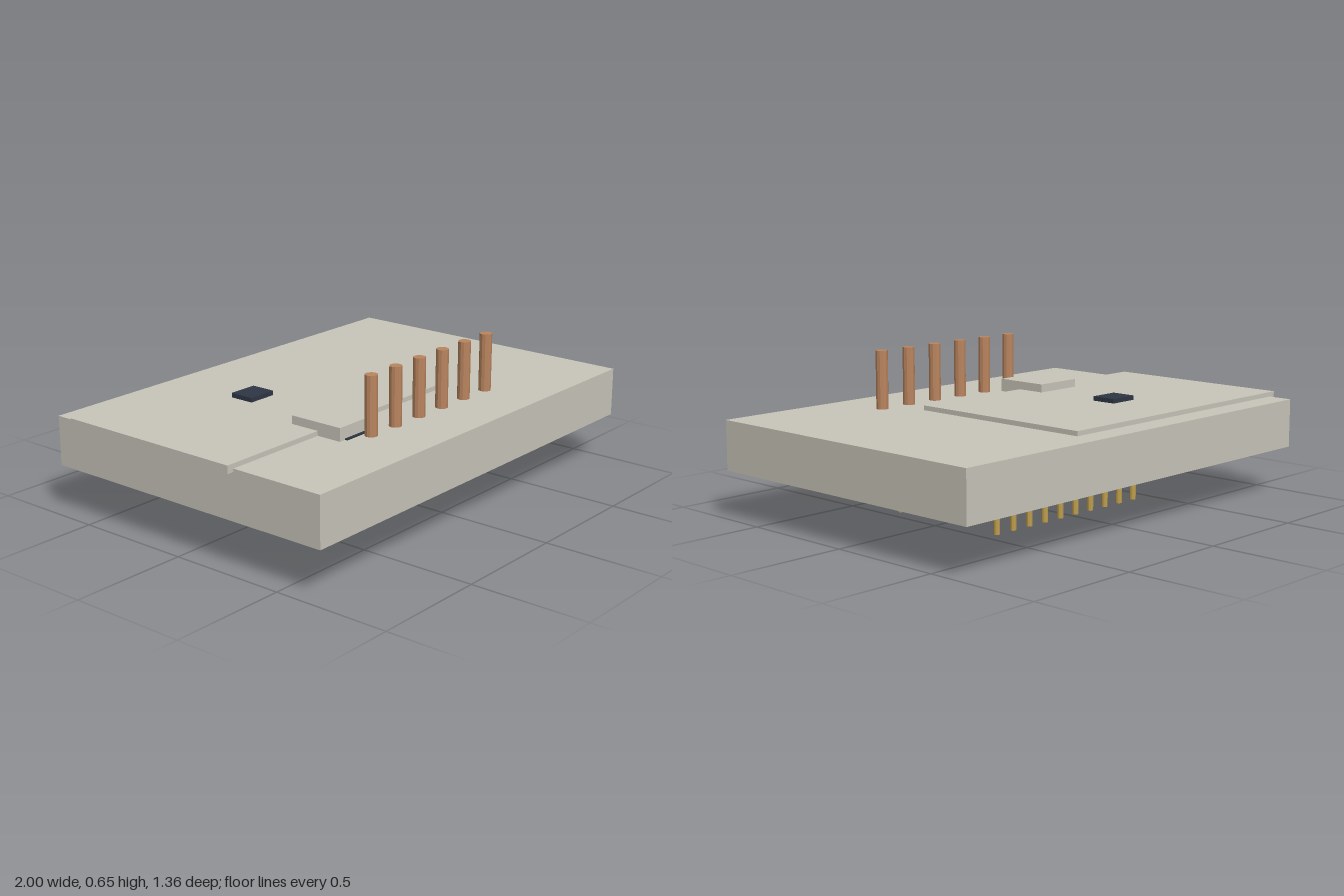
import * as THREE from 'three';

const mat = (name, color) => {
  const m = new THREE.MeshStandardMaterial({ color, flatShading: true });
  m.name = name;
  return m;
};

export function createModel() {
  const group = new THREE.Group();
  const shell = mat('warm grey', 0xc9c6ba);
  const dark = mat('dark slate', 0x2f3745);
  const blue = mat('board blue', 0x4a7cae);
  const copper = mat('copper', 0xba855f);
  const gold = mat('gold', 0xbf9f4e);

  // Box given by its min and max along each axis
  const box = (name, material, [x0, x1], [y0, y1], [z0, z1]) => {
    const mesh = new THREE.Mesh(new THREE.BoxGeometry(x1 - x0, y1 - y0, z1 - z0), material);
    mesh.position.set((x0 + x1) / 2, (y0 + y1) / 2, (z0 + z1) / 2);
    mesh.name = name;
    group.add(mesh);
  };

  // Row of upright pins evenly spaced along x
  const pinRow = (name, material, count, [x0, x1], [y0, y1], z, radius, sides) => {
    const row = new THREE.Group();
    row.name = name;
    const geometry = new THREE.CylinderGeometry(radius, radius, y1 - y0, sides);
    for (let i = 0; i < count; i++) {
      const pin = new THREE.Mesh(geometry, material);
      pin.name = 'pin';
      pin.position.set(x0 + ((x1 - x0) * i) / (count - 1), (y0 + y1) / 2, z);
      row.add(pin);
    }
    group.add(row);
  };

  // Main slab, the overhanging upper plate and the connector housing
  box('baseSlab', shell, [-0.97, 1], [0.202, 0.41], [-0.682, 0.682]);
  box('upperPlate', shell, [-1, 0.3], [0.397, 0.43], [-0.576, 0.27]);
  box('connectorHousing', shell, [-0.5, -0.28], [0.41, 0.465], [0.14, 0.381]);

  // Dark electronics
  box('connectorLip', dark, [-0.47, -0.31], [0.405, 0.416], [0.2, 0.392]);
  box('chip', dark, [-0.402, -0.272], [0.428, 0.449], [-0.274, -0.165]);

  // Board showing on the underside
  box('undersideBoard', blue, [-0.5, 0.525], [0.199, 0.206], [-0.36, 0.36]);

  // Thick posts on top, two rows of thin legs below
  pinRow('topPosts', copper, 6, [-0.366, 0.391], [0.4, 0.655], 0.424, 0.026, 12);
  for (const side of [-1, 1])
    pinRow(side > 0 ? 'frontLegs' : 'backLegs', gold, 10, [-0.404, 0.431], [0, 0.205], side * 0.276, 0.013, 10);

  return group;
}
